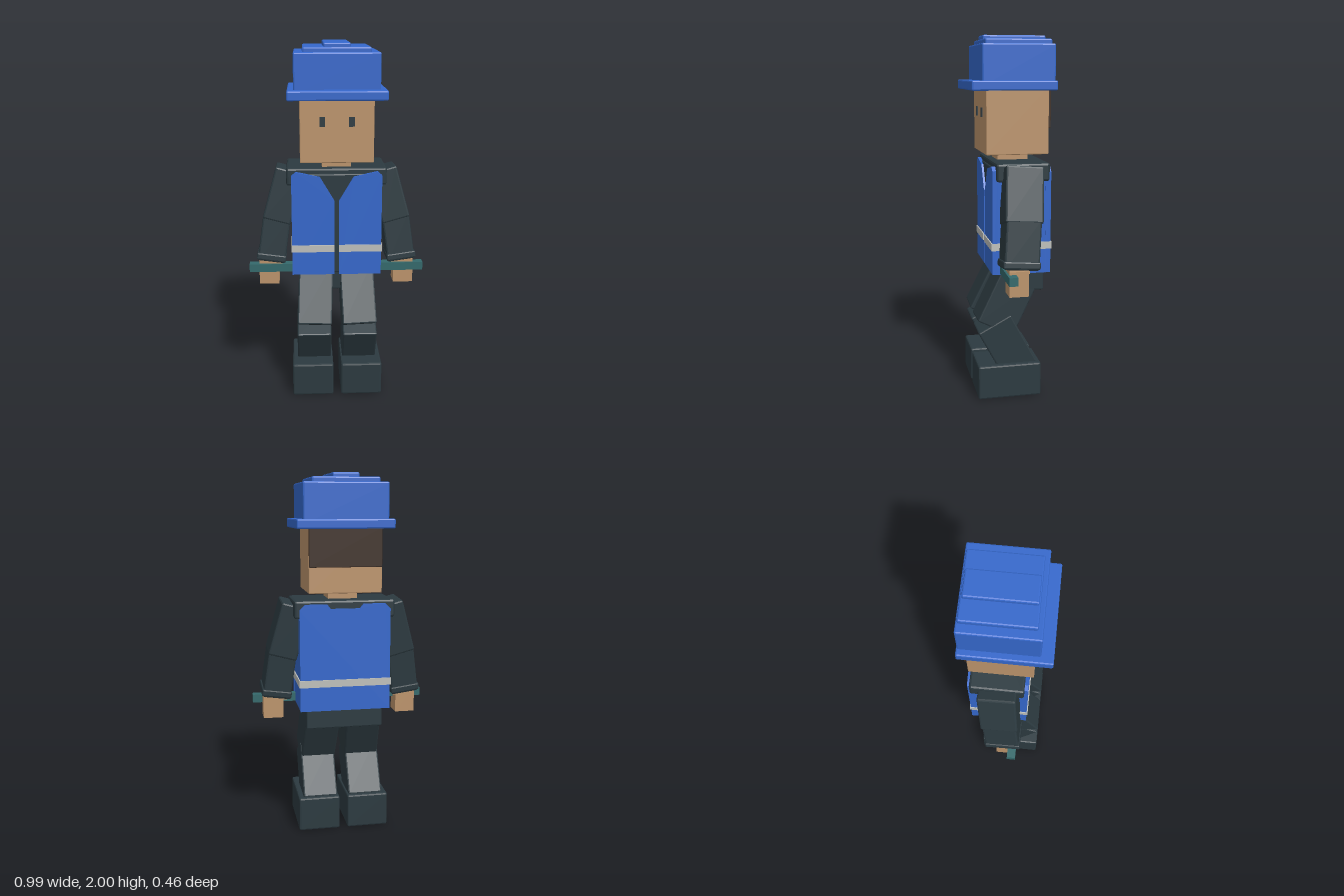
import * as THREE from 'three';
import { RoundedBoxGeometry } from 'three/addons/geometries/RoundedBoxGeometry.js';

const mat = (name, color) => {
  const m = new THREE.MeshStandardMaterial({ color });
  m.name = name;
  return m;
};

export function createModel() {
  const model = new THREE.Group();
  model.name = 'worker';
  const blue = mat('blue', 0x3568cc);
  const dark = mat('dark slate', 0x2c3a40);
  const skin = mat('skin', 0xbc946c);
  const hairBrown = mat('dark brown', 0x3d2e24);
  const teal = mat('teal', 0x34696c);
  const silver = mat('silver', 0xbfc0bc);

  const add = (name, geometry, material) => {
    const mesh = new THREE.Mesh(geometry, material);
    mesh.name = name;
    model.add(mesh);
    return mesh;
  };

  // Box with a small flat chamfer, placed by centre and rotation
  const box = (name, material, size, pos, rot = [0, 0, 0], bevel = 0.008) => {
    const g = bevel
      ? new RoundedBoxGeometry(...size, 1, bevel)
      : new THREE.BoxGeometry(...size);
    if (bevel) g.computeVertexNormals();
    const mesh = add(name, g, material);
    mesh.position.set(...pos);
    mesh.rotation.set(...rot);
    return mesh;
  };

  // Box placed by its extents
  const span = (name, material, [x0, x1], [y0, y1], [z0, z1], bevel) =>
    box(name, material, [x1 - x0, y1 - y0, z1 - z0],
      [(x0 + x1) / 2, (y0 + y1) / 2, (z0 + z1) / 2], [0, 0, 0], bevel);

  // Flat panel cut from an outline
  const panel = (name, material, points, z, depth) => {
    const shape = new THREE.Shape(points.map(([x, y]) => new THREE.Vector2(x, y)));
    const g = new THREE.ExtrudeGeometry(shape, { depth, bevelEnabled: false });
    add(name, g, material).position.z = z;
  };

  // Hard hat
  span('hatBrim', blue, [-0.265, 0.265], [1.71, 1.762], [-0.232, 0.228]);
  span('hatCrown', blue, [-0.23, 0.23], [1.73, 1.952], [-0.228, 0.167]);
  span('hatWideRidge', blue, [-0.182, 0.182], [1.9, 1.978], [-0.22, 0.143]);
  span('hatNarrowRidge', blue, [-0.072, 0.072], [1.93, 2], [-0.211, 0.136]);

  // Head
  span('head', skin, [-0.2, 0.2], [1.368, 1.73], [-0.2, 0.143], 0.005);
  span('hair', hairBrown, [-0.198, 0.198], [1.508, 1.72], [-0.211, -0.19], 0.003);
  span('neck', skin, [-0.08, 0.08], [1.3, 1.38], [-0.11, 0.06], 0);

  // Torso
  span('torso', dark, [-0.24, 0.24], [0.725, 1.3], [-0.185, 0.108]);
  span('shoulders', dark, [-0.277, 0.277], [1.232, 1.33], [-0.19, 0.1], 0.012);
  span('pelvis', dark, [-0.215, 0.215], [0.61, 0.75], [-0.175, 0.07]);

  // Vest back with neck notch
  panel('vestBack', blue, [
    [-0.25, 0.72], [0.25, 0.72], [0.25, 1.28], [0.22, 1.31], [0.1, 1.31],
    [0.08, 1.285], [-0.08, 1.285], [-0.1, 1.31], [-0.22, 1.31], [-0.25, 1.28],
  ], -0.203, 0.03);

  // Rod held in both hands
  span('rod', teal, [-0.495, 0.495], [0.724, 0.77], [0.03, 0.078], 0);

  for (const s of [1, -1]) {
    const side = s > 0 ? 'left' : 'right';
    const name = (part) => side + part;
    const across = (a, b) => (s > 0 ? [a, b] : [-b, -a]);

    // Eye
    span(name('Eye'), dark, across(0.064, 0.094), [1.565, 1.616], [0.142, 0.15], 0);

    // Vest front half and side
    const front = [[0.013, 0.72], [0.25, 0.72], [0.25, 1.29], [0.225, 1.312],
      [0.093, 1.285], [0.013, 1.15]].map(([x, y]) => [s * x, y]);
    panel(name('VestFront'), blue, front, 0.09, 0.03);
    span(name('VestSide'), blue, across(0.23, 0.249), [0.72, 1.235], [-0.18, 0.1], 0);

    // Reflective band
    span(name('BandFront'), silver, across(0.013, 0.255), [0.855, 0.895], [0.11, 0.126], 0);
    span(name('BandSide'), silver, across(0.245, 0.255), [0.855, 0.895], [-0.208, 0.126], 0);
    span(name('BandBack'), silver, across(0, 0.255), [0.855, 0.895], [-0.208, -0.19], 0);

    // Arm
    box(name('UpperArm'), dark, [0.16, 0.3, 0.205], [s * 0.297, 1.16, -0.03], [-0.07, 0, s * 0.27], 0.01);
    box(name('Forearm'), dark, [0.155, 0.27, 0.19], [s * 0.351, 0.915, -0.01], [-0.08, 0, s * 0.14], 0.01);
    box(name('Cuff'), dark, [0.166, 0.04, 0.2], [s * 0.368, 0.808, 0], [-0.08, 0, s * 0.14]);
    box(name('Wrist'), skin, [0.12, 0.06, 0.11], [s * 0.367, 0.79, 0.01], [0, 0, s * 0.14], 0);
    span(name('Hand'), skin, across(0.328, 0.44), [0.648, 0.785], [-0.037, 0.066], 0);

    // Leg
    box(name('Thigh'), dark, [0.195, 0.35, 0.22], [s * 0.122, 0.555, 0.024], [-0.46, 0, s * 0.04]);
    box(name('Shin'), dark, [0.195, 0.32, 0.207], [s * 0.13, 0.287, 0.03], [0.49, 0, 0]);
    span(name('Boot'), dark, across(0.022, 0.257), [0, 0.195], [-0.155, 0.202], 0.01);
  }
  return model;
}
